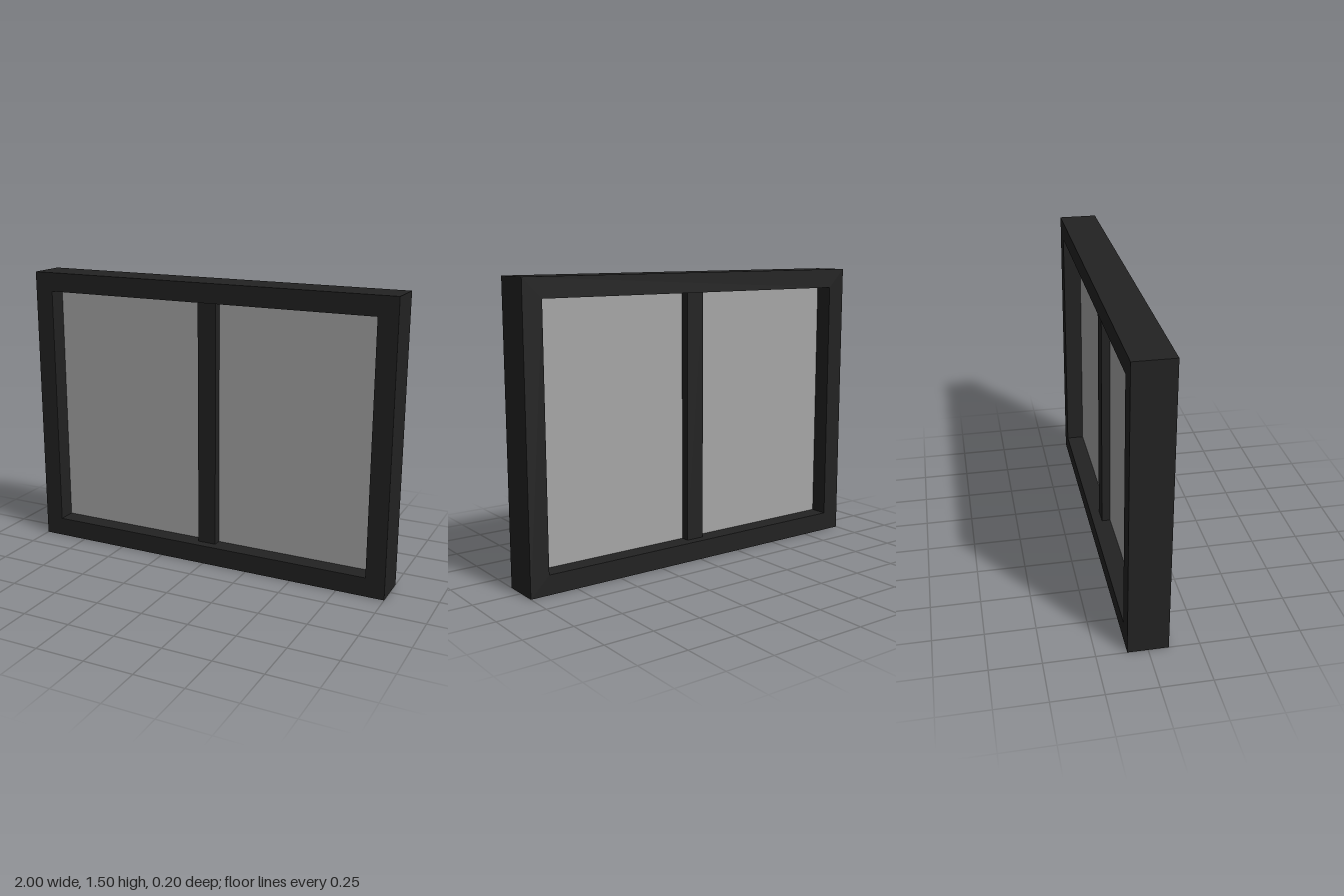
import * as THREE from 'three';

const W = 2, H = 1.5, DEPTH = 0.2, BAR = 0.1;

export function createModel() {
  const model = new THREE.Group();
  model.name = 'window';
  const dark = new THREE.MeshStandardMaterial({ color: 0x222222 });
  const glass = new THREE.MeshStandardMaterial({ color: 0xa6a6a6 });

  const add = (name, geometry, material, x, y, z) => {
    const mesh = new THREE.Mesh(geometry, material);
    mesh.name = name;
    mesh.position.set(x, y, z);
    model.add(mesh);
  };

  // Outer frame: a rectangle with one large opening
  const outline = new THREE.Shape([
    new THREE.Vector2(-W / 2, 0), new THREE.Vector2(W / 2, 0),
    new THREE.Vector2(W / 2, H), new THREE.Vector2(-W / 2, H),
  ]);
  const ix = W / 2 - BAR;
  outline.holes.push(new THREE.Path([
    new THREE.Vector2(-ix, BAR), new THREE.Vector2(-ix, H - BAR),
    new THREE.Vector2(ix, H - BAR), new THREE.Vector2(ix, BAR),
  ]));
  add('frame', new THREE.ExtrudeGeometry(outline, { depth: DEPTH, bevelEnabled: false }),
    dark, 0, 0, -DEPTH / 2);

  // Central upright, shallower than the frame
  const innerH = H - 2 * BAR;
  add('mullion', new THREE.BoxGeometry(BAR, innerH, 0.1), dark, 0, H / 2, 0);

  // Thin panes either side of the upright
  const paneW = ix - BAR / 2;
  for (const [name, side] of [['leftPane', 1], ['rightPane', -1]]) {
    add(name, new THREE.BoxGeometry(paneW, innerH, 0.01), glass,
      side * (BAR / 2 + paneW / 2), H / 2, 0);
  }
  return model;
}
